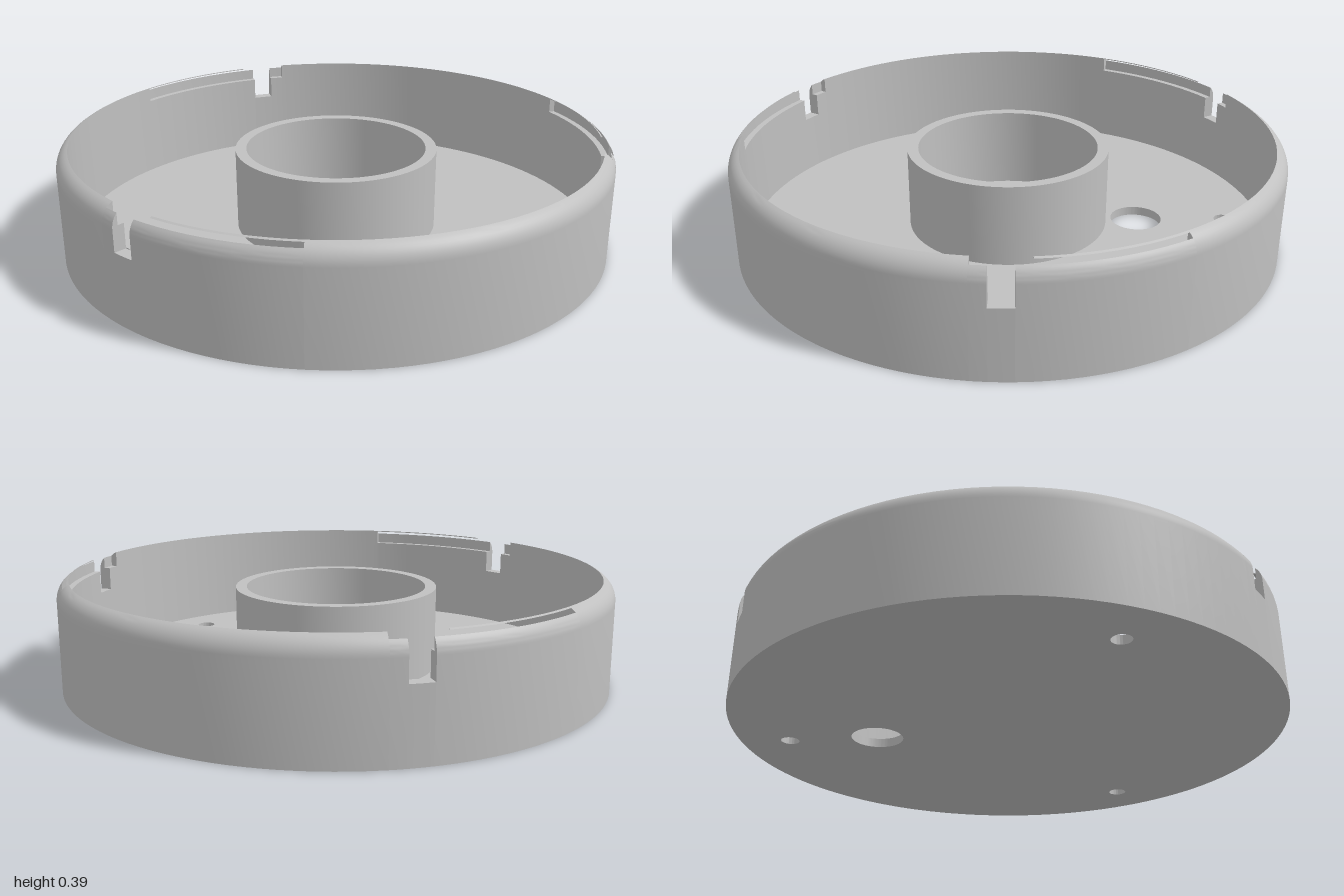
import * as THREE from 'three';
import { mergeGeometries, toCreasedNormals } from 'three/addons/utils/BufferGeometryUtils.js';

const RAD = Math.PI / 180;
const INNER = 0.957, FLOOR = 0.033;          // inner wall radius, floor thickness
const FC = 0.93, FY = 0.327, FR = 0.07;      // centre and radius of the rounded rim
const LEDGE = 0.335, ROOF = 0.388, GROOVE = 0.98; // locking groove

const vec = (x, y) => new THREE.Vector2(x, y);

// Points of the rounded rim, from radius 1 in to the given radius
function rim(toRadius) {
  const end = Math.acos((toRadius - FC) / FR);
  return Array.from({ length: 9 }, (_, i) => {
    const t = (end * i) / 8;
    return vec(FC + FR * Math.cos(t), FY + FR * Math.sin(t));
  });
}

// Closed solid: a counter-clockwise (radius, y) profile swept from angle a0 to a1 (degrees, +x towards +z)
function sector(profile, a0, a1) {
  const start = (90 - a1) * RAD, length = (a1 - a0) * RAD;
  const segments = Math.max(2, Math.ceil((a1 - a0) / 3));
  const sweep = new THREE.LatheGeometry([...profile, profile[0]], segments, start, length).toNonIndexed();
  sweep.deleteAttribute('uv');
  sweep.deleteAttribute('normal');
  const corners = [];
  const faces = THREE.ShapeUtils.triangulateShape(profile.slice(), []);
  const cap = (phi, flip) => faces.forEach((f) => (flip ? [f[0], f[2], f[1]] : f).forEach((i) => {
    const p = profile[i];
    corners.push(p.x * Math.sin(phi), p.y, p.x * Math.cos(phi));
  }));
  if (a1 - a0 < 360) {
    cap(start, false);
    cap(start + length, true);
  }
  const parts = [sweep];
  if (corners.length) {
    const caps = new THREE.BufferGeometry();
    caps.setAttribute('position', new THREE.Float32BufferAttribute(corners, 3));
    parts.push(caps);
  }
  return toCreasedNormals(mergeGeometries(parts), 30 * RAD);
}

export function createModel() {
  const group = new THREE.Group();
  const grey = new THREE.MeshStandardMaterial({ color: 0xc0c0c0 });
  grey.name = 'grey plastic';
  const add = (name, geometry) => {
    const mesh = new THREE.Mesh(geometry, grey);
    mesh.name = name;
    group.add(mesh);
  };

  // Floor with a cable hole and three screw holes
  const disc = new THREE.Shape().absarc(0, 0, INNER + 0.002, 0, Math.PI * 2);
  [[0, -0.485, 0.095], [0, -0.815, 0.034], [0.705, 0.405, 0.034], [-0.705, 0.405, 0.034]]
    .forEach(([x, z, r]) => disc.holes.push(new THREE.Path().absarc(x, z, r, 0, Math.PI * 2, true)));
  const floor = new THREE.ExtrudeGeometry(disc, { depth: FLOOR, bevelEnabled: false, curveSegments: 60 });
  floor.rotateX(Math.PI / 2).translate(0, FLOOR, 0);
  add('floor', toCreasedNormals(floor, 30 * RAD));

  // Central open tube
  add('centreTube', sector([vec(0.33, 0.02), vec(0.37, 0.02), vec(0.37, 0.33), vec(0.33, 0.33)], 0, 360));

  // Wall cross-sections
  const full = [vec(INNER, 0), vec(1, 0), ...rim(INNER)];
  const low = [vec(INNER, 0), vec(1, 0), vec(1, 0.25), vec(INNER, 0.25)];
  const grooved = [vec(INNER, 0), vec(1, 0), ...rim(GROOVE), vec(GROOVE, LEDGE), vec(INNER, LEDGE)];
  const roofRadius = FC + Math.sqrt(FR * FR - (ROOF - FY) ** 2);
  const lip = [vec(INNER, ROOF), vec(roofRadius, ROOF), vec(INNER, FY + Math.sqrt(FR * FR - (INNER - FC) ** 2))];

  // Three identical thirds, each with a stepped notch and a locking groove
  for (const a of [0, 120, 240]) {
    add('wall', sector(full, a + 5.4, a + 85.5));
    add('grooveWall', sector(grooved, a - 34.5, a - 2.3));
    add('grooveLip', sector(lip, a - 34.5, a - 5.4));
    add('notchFloor', sector(low, a - 2.3, a + 2.3));
    add('notchStep', sector(grooved, a + 2.3, a + 5.4));
  }
  return group;
}
